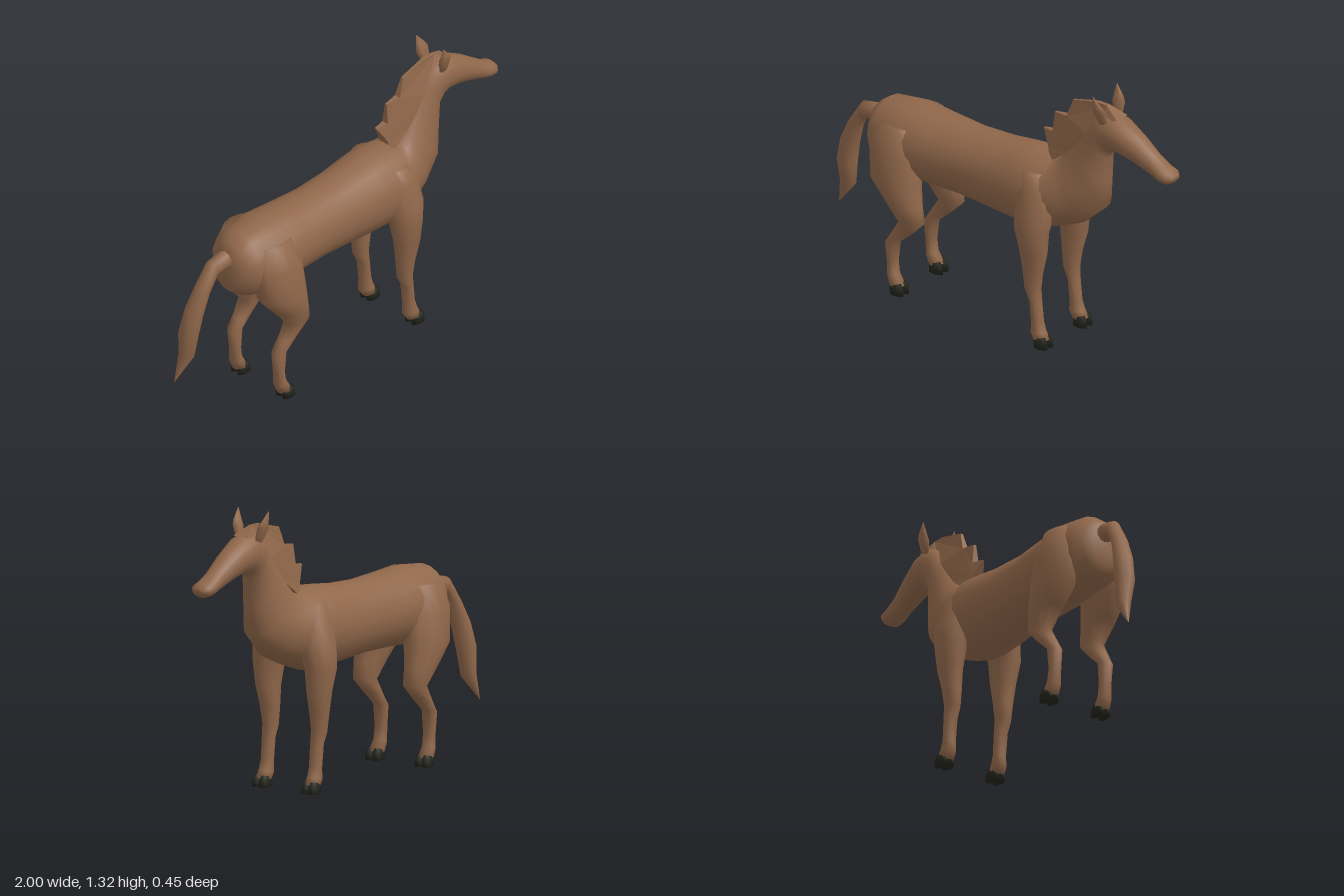
import * as THREE from 'three';

const coat = new THREE.MeshStandardMaterial({ color: 0x90674a });
coat.name = 'brown coat';
const horn = new THREE.MeshStandardMaterial({ color: 0x22231a });
horn.name = 'dark hoof';

// Lofts elliptical rings; each section is [ax, ay, bx, by, zCentre, zHalfWidth],
// where a and b are the two ends of the ring's diameter in the side plane.
function loft(sections, sides) {
  const pos = [], index = [];
  for (const [ax, ay, bx, by, zc, hw] of sections) {
    for (let i = 0; i < sides; i++) {
      const t = (i / sides) * Math.PI * 2, c = Math.cos(t) / 2;
      pos.push((ax + bx) / 2 + c * (ax - bx), (ay + by) / 2 + c * (ay - by), zc + hw * Math.sin(t));
    }
  }
  const last = (sections.length - 1) * sides;
  for (let r = 0; r < last; r += sides) {
    for (let i = 0; i < sides; i++) {
      const j = (i + 1) % sides;
      index.push(r + i, r + j, r + sides + i, r + j, r + sides + j, r + sides + i);
    }
  }
  // End caps
  for (const [s, start, flip] of [[sections[0], 0, true], [sections.at(-1), last, false]]) {
    const centre = pos.length / 3;
    pos.push((s[0] + s[2]) / 2, (s[1] + s[3]) / 2, s[4]);
    for (let i = 0; i < sides; i++) {
      const p = start + i, q = start + (i + 1) % sides;
      index.push(centre, flip ? q : p, flip ? p : q);
    }
  }
  const g = new THREE.BufferGeometry();
  g.setAttribute('position', new THREE.Float32BufferAttribute(pos, 3));
  g.setIndex(index);
  g.computeVertexNormals();
  return g;
}

function add(parent, name, geometry, material = coat) {
  const mesh = new THREE.Mesh(geometry, material);
  mesh.name = name;
  parent.add(mesh);
  return mesh;
}

// Mirrors sections to the chosen side
const onSide = (sections, s) => sections.map(([a, b, c, d, z, w]) => [a, b, c, d, z * s, w]);

const torso = [
  [-0.73, 0.82, -0.73, 0.62, 0, 0.065],
  [-0.70, 0.855, -0.70, 0.59, 0, 0.11],
  [-0.65, 0.89, -0.65, 0.56, 0, 0.15],
  [-0.51, 0.905, -0.51, 0.54, 0, 0.18],
  [-0.36, 0.895, -0.36, 0.55, 0, 0.168],
  [-0.18, 0.887, -0.18, 0.55, 0, 0.155],
  [0.00, 0.895, 0.00, 0.54, 0, 0.162],
  [0.13, 0.912, 0.13, 0.533, 0, 0.172],
  [0.23, 0.92, 0.25, 0.533, 0, 0.18],
  [0.32, 0.905, 0.36, 0.57, 0, 0.165],
  [0.35, 0.915, 0.48, 0.62, 0, 0.135],
  [0.38, 0.955, 0.60, 0.73, 0, 0.105],
  [0.45, 1.04, 0.612, 0.87, 0, 0.083],
  [0.52, 1.13, 0.618, 0.99, 0, 0.07],
];
const head = [
  [0.52, 1.13, 0.618, 0.99, 0, 0.07],
  [0.555, 1.185, 0.645, 1.03, 0, 0.075],
  [0.61, 1.22, 0.68, 1.04, 0, 0.078],
  [0.69, 1.212, 0.73, 1.034, 0, 0.076],
  [0.80, 1.152, 0.79, 1.018, 0, 0.062],
  [0.89, 1.088, 0.87, 0.99, 0, 0.05],
  [0.94, 1.053, 0.93, 0.972, 0, 0.054],
  [0.98, 1.038, 0.97, 0.97, 0, 0.053],
  [1.00, 1.018, 0.995, 0.985, 0, 0.03],
];
const frontLeg = [
  [0.33, 0.85, 0.20, 0.85, 0.09, 0.06],
  [0.375, 0.78, 0.18, 0.78, 0.10, 0.08],
  [0.385, 0.66, 0.19, 0.66, 0.13, 0.082],
  [0.37, 0.57, 0.20, 0.57, 0.147, 0.07],
  [0.362, 0.46, 0.225, 0.46, 0.145, 0.055],
  [0.335, 0.36, 0.238, 0.36, 0.14, 0.045],
  [0.325, 0.28, 0.245, 0.27, 0.138, 0.036],
  [0.328, 0.22, 0.272, 0.22, 0.137, 0.033],
  [0.34, 0.12, 0.282, 0.10, 0.137, 0.03],
  [0.355, 0.075, 0.278, 0.06, 0.138, 0.034],
  [0.375, 0.04, 0.30, 0.025, 0.139, 0.036],
];
const hindLeg = [
  [-0.43, 0.83, -0.62, 0.83, 0.10, 0.07],
  [-0.39, 0.70, -0.66, 0.72, 0.122, 0.09],
  [-0.38, 0.57, -0.64, 0.56, 0.137, 0.09],
  [-0.365, 0.46, -0.55, 0.46, 0.143, 0.068],
  [-0.35, 0.385, -0.48, 0.375, 0.142, 0.05],
  [-0.42, 0.315, -0.525, 0.305, 0.14, 0.038],
  [-0.49, 0.255, -0.565, 0.24, 0.138, 0.034],
  [-0.503, 0.15, -0.553, 0.14, 0.137, 0.03],
  [-0.497, 0.095, -0.55, 0.07, 0.138, 0.033],
  [-0.465, 0.04, -0.53, 0.025, 0.139, 0.036],
];
const tail = [
  [-0.68, 0.735, -0.68, 0.825, 0, 0.045],
  [-0.76, 0.735, -0.75, 0.82, -0.005, 0.04],
  [-0.80, 0.725, -0.82, 0.805, -0.008, 0.038],
  [-0.835, 0.66, -0.90, 0.685, -0.015, 0.042],
  [-0.865, 0.56, -0.95, 0.585, -0.025, 0.048],
  [-0.885, 0.46, -0.98, 0.47, -0.035, 0.05],
  [-0.90, 0.335, -0.972, 0.355, -0.045, 0.038],
  [-0.995, 0.225, -1.0, 0.22, -0.06, 0.003],
];
const ear = [
  [0.60, 1.175, 0.645, 1.185, 0.053, 0.014],
  [0.575, 1.235, 0.65, 1.25, 0.07, 0.02],
  [0.58, 1.275, 0.635, 1.27, 0.078, 0.013],
  [0.589, 1.32, 0.592, 1.318, 0.086, 0.002],
];

// Jagged crest, thick at the neck and thin at its tips
function maneGeometry() {
  const outline = [
    [0.32, 0.895], [0.29, 0.925], [0.285, 0.945], [0.24, 1.02], [0.30, 1.025], [0.305, 1.12],
    [0.38, 1.127], [0.41, 1.215], [0.55, 1.25], [0.61, 1.25], [0.69, 1.21], [0.60, 1.18],
    [0.52, 1.09], [0.42, 0.97],
  ].map(([x, y]) => new THREE.Vector2(x, y));
  const g = new THREE.ExtrudeGeometry(new THREE.Shape(outline), { depth: 2, bevelEnabled: false });
  g.translate(0, 0, -1);
  const p = g.attributes.position;
  for (let i = 0; i < p.count; i++) {
    const x = p.getX(i), y = p.getY(i);
    const reach = Math.max(0, -0.756 * (x - 0.32) + 0.655 * (y - 0.9));
    p.setZ(i, p.getZ(i) * Math.max(0.006, Math.min(0.045 * (1 - reach / 0.16), (1.265 - y) * 0.7)));
  }
  g.computeVertexNormals();
  return g;
}

// Cloven hoof: two tapered toes side by side
function addHoof(parent, x, z) {
  const hoof = new THREE.Group();
  hoof.name = 'hoof';
  for (const side of [-1, 1]) {
    const zc = z + side * 0.02;
    add(hoof, 'toe', loft([
      [x + 0.028, 0.055, x - 0.03, 0.045, zc, 0.014],
      [x + 0.04, 0.03, x - 0.038, 0.03, zc, 0.02],
      [x + 0.042, 0, x - 0.036, 0, zc, 0.021],
    ], 8), horn);
  }
  parent.add(hoof);
}

export function createModel() {
  const horse = new THREE.Group();
  horse.name = 'horse';
  // Torso and head form one continuous skin
  add(horse, 'bodyNeckAndHead', loft([...torso, ...head.slice(1)], 20));
  add(horse, 'mane', maneGeometry());
  add(horse, 'tail', loft(tail, 10));
  for (const [s, side] of [[-1, 'far'], [1, 'near']]) {
    add(horse, side + 'Ear', loft(onSide(ear, s), 6));
    add(horse, side + 'FrontLeg', loft(onSide(frontLeg, s), 12));
    add(horse, side + 'HindLeg', loft(onSide(hindLeg, s), 12));
    addHoof(horse, 0.345, s * 0.14);
    addHoof(horse, -0.49, s * 0.14);
  }
  return horse;
}
